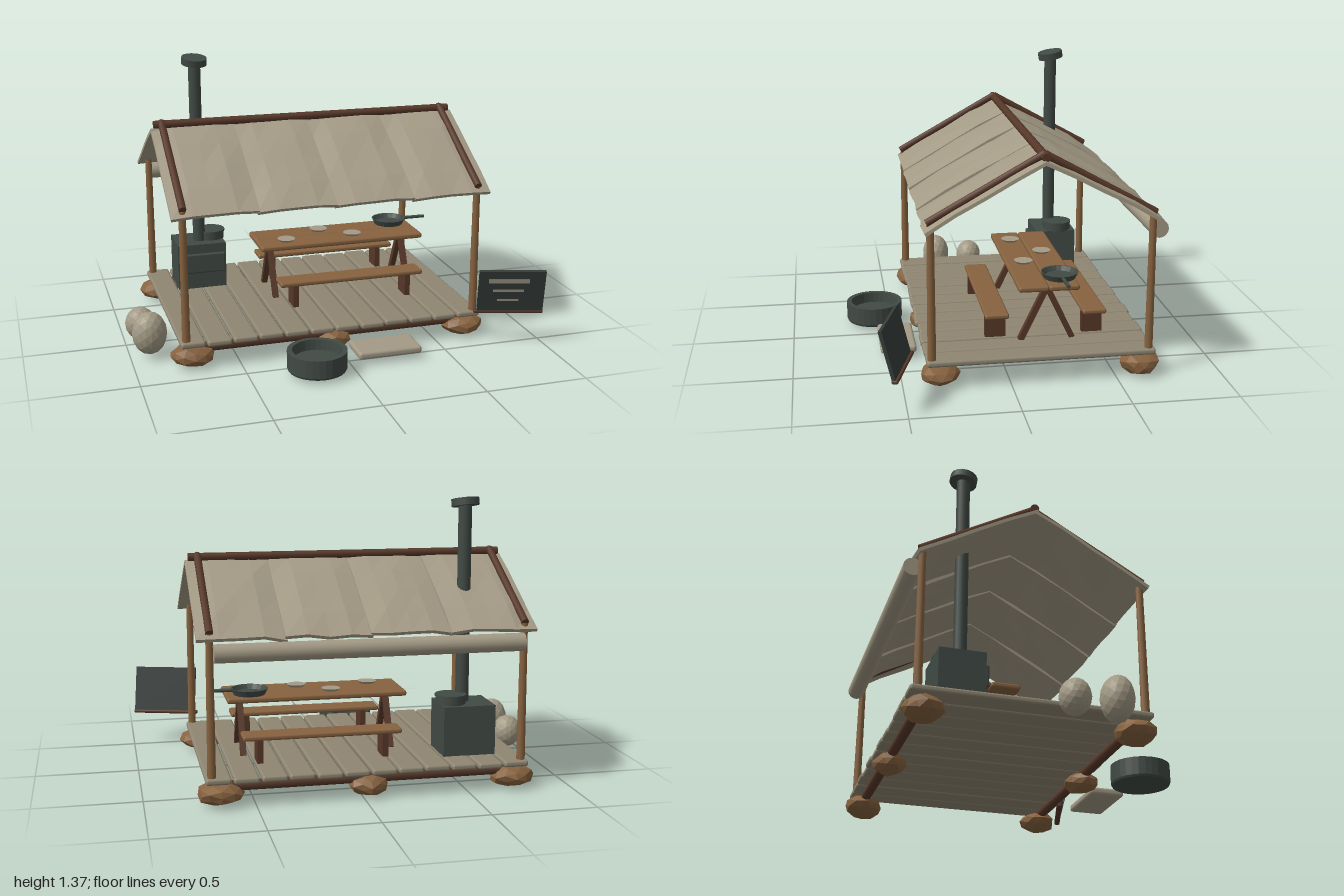
import * as THREE from 'three';
import { RoundedBoxGeometry } from 'three/addons/geometries/RoundedBoxGeometry.js';

const mat = (name, color) => {
  const m = new THREE.MeshStandardMaterial({ color });
  m.name = name;
  return m;
};

export function createModel() {
  const root = new THREE.Group();
  root.name = 'fieldKitchenShelter';
  const canvas = mat('canvas', 0xa39a85);
  const deckWood = mat('weathered wood', 0x8f8672);
  const wood = mat('light wood', 0x86623f);
  const darkWood = mat('dark wood', 0x573829);
  const iron = mat('iron', 0x414a45);
  const slate = mat('slate', 0x343c39);

  const add = (name, geo, material, x = 0, y = 0, z = 0, parent = root) => {
    const m = new THREE.Mesh(geo, material);
    m.name = name;
    m.position.set(x, y, z);
    parent.add(m);
    return m;
  };
  const box = (w, h, d) => new THREE.BoxGeometry(w, h, d);
  const plank = (w, h, d) => new RoundedBoxGeometry(w, h, d, 2, Math.min(w, h, d) * 0.4);
  const cyl = (rt, rb, h, n = 20) => new THREE.CylinderGeometry(rt, rb, h, n);
  const flat = (g) => {
    const f = g.index ? g.toNonIndexed() : g;
    f.computeVertexNormals();
    return f;
  };
  // repeatable pseudo random value in -1..1 for a position
  const noise = (x, y, z) => {
    const s = Math.sin(x * 127.1 + y * 311.7 + z * 74.7) * 43758.5453;
    return (s - Math.floor(s)) * 2 - 1;
  };
  // move every vertex by a rule
  const warp = (g, rule) => {
    const p = g.attributes.position, v = new THREE.Vector3();
    for (let i = 0; i < p.count; i++) {
      rule(v.fromBufferAttribute(p, i));
      p.setXYZ(i, v.x, v.y, v.z);
    }
    return flat(g);
  };
  // round pole between two points
  const pole = (name, a, b, r0, r1, material, n = 10) => {
    const A = new THREE.Vector3(...a), B = new THREE.Vector3(...b);
    const d = B.clone().sub(A), c = A.clone().add(B).multiplyScalar(0.5);
    const m = add(name, cyl(r1, r0, d.length(), n), material, c.x, c.y, c.z);
    m.quaternion.setFromUnitVectors(new THREE.Vector3(0, 1, 0), d.normalize());
    return m;
  };

  // deck planks
  for (let i = 0; i < 12; i++) {
    add('deckPlank', plank(0.118, 0.03, 1.08 + 0.012 * noise(i, 1, 2)), deckWood,
      -0.73 + i * 0.1273, 0.131 + 0.002 * noise(i, 5, 1), -0.145);
  }
  // floor beams on foundation rocks
  for (const z of [0.33, -0.62]) {
    pole('floorBeam', [-0.75, 0.094, z], [0.69, 0.094, z], 0.024, 0.024, darkWood);
    [-0.725, -0.03, 0.66].forEach((x, i) => {
      const s = i === 1 ? 0.85 : 1;
      const g = warp(new THREE.IcosahedronGeometry(1, 1), (v) => {
        const k = 1 + 0.1 * noise(Math.round(v.x * 50) + i * 7, Math.round(v.y * 50), Math.round(v.z * 50) + z * 10);
        v.set(v.x * 0.105 * s * k, v.y * 0.053 * k, v.z * 0.092 * s * k);
      });
      add('foundationRock', g, wood, x, 0.062, z);
    });
  }

  // corner posts, rafters and ridge pole
  for (const x of [-0.76, 0.7]) {
    pole('frontPost', [x, 0.14, 0.367], [x, 0.785, 0.367], 0.02, 0.017, wood);
    pole('backPost', [x, 0.14, -0.652], [x, 0.8, -0.652], 0.02, 0.017, wood);
    pole('frontRafter', [x, 0.795, 0.385], [x, 1.092, -0.145], 0.018, 0.018, darkWood);
    pole('backRafter', [x, 0.803, -0.665], [x, 1.092, -0.145], 0.018, 0.018, darkWood);
  }
  pole('ridgePole', [-0.8, 1.083, -0.145], [0.745, 1.083, -0.145], 0.02, 0.02, darkWood);

  // four billowing canvas panels on each slope
  const seams = [-0.81, -0.405, -0.03, 0.36, 0.755];
  for (const [zEdge, yEdge] of [[0.398, 0.77], [-0.688, 0.783]]) {
    const dz = zEdge + 0.145, dy = yEdge - 1.075, len = Math.hypot(dz, dy);
    for (let i = 0; i < 4; i++) {
      const w = seams[i + 1] - seams[i];
      const g = warp(new THREE.BoxGeometry(w + 0.01, 0.016, len, 4, 1, 4), (v) => {
        const u = Math.abs(v.x) / (w / 2), t = Math.abs(v.z) / (len / 2);
        const n = noise(Math.round(v.x * 90) + i * 13, Math.round(zEdge * 9), Math.round(v.z * 90));
        v.y += -0.006 + 0.016 * (1 - Math.pow(u, 4)) * (1 - Math.pow(t, 4)) + 0.004 * n;
        if (u * t > 0.9) v.y -= 0.008;
        if (t > 0.9) v.z += 0.006 * n;
      });
      const m = add('roofCanvas', g, canvas, (seams[i] + seams[i + 1]) / 2, (1.075 + yEdge) / 2 - 0.004, (zEdge - 0.145) / 2);
      m.rotation.x = Math.atan2(-dy, dz > 0 ? dz : -dz) * Math.sign(dz);
      m.rotation.z = 0.022;
    }
  }
  // rolled up canvas along the back eave
  pole('canvasRoll', [-0.745, 0.717, -0.689], [0.685, 0.717, -0.689], 0.043, 0.043, canvas, 16);

  // stove with door, pot and chimney
  add('stoveBody', box(0.255, 0.24, 0.215), iron, -0.542, 0.266, -0.438);
  add('stoveDoor', plank(0.23, 0.105, 0.022), iron, -0.536, 0.286, -0.322);
  add('stovePot', cyl(0.072, 0.072, 0.046), iron, -0.472, 0.407, -0.455);
  add('potLid', cyl(0.076, 0.076, 0.01), iron, -0.472, 0.427, -0.455);
  add('chimneyPipe', cyl(0.032, 0.032, 0.96, 16), iron, -0.54, 0.86, -0.42);
  const cap = add('chimneyCap', cyl(0.066, 0.066, 0.035, 16), iron, -0.54, 1.345, -0.42);
  cap.rotation.set(0.18, 0, -0.05);

  // table
  for (const z of [-0.127, -0.273]) add('tableTop', plank(0.875, 0.028, 0.145), wood, 0.152, 0.417, z);
  for (const x of [-0.21, 0.515]) {
    for (const z of [-0.075, -0.325]) {
      const leg = add('tableLeg', box(0.028, 0.29, 0.028), darkWood, x, 0.275, (z - 0.2) / 2);
      leg.rotation.x = -Math.atan2(z + 0.2, 0.26);
    }
  }
  // benches
  for (const z of [0.038, -0.433]) {
    add('benchSeat', plank(0.76, 0.025, 0.115), wood, 0.155, 0.269, z);
    for (const x of [-0.145, 0.455]) add('benchLeg', box(0.028, 0.115, 0.1), darkWood, x, 0.203, z);
  }
  // plates and pan on the table
  for (const [x, z] of [[-0.135, -0.135], [0.075, -0.26], [0.225, -0.14]]) {
    add('plate', cyl(0.047, 0.036, 0.012, 16), canvas, x, 0.437, z);
  }
  const panProfile = [[0, 0], [0.075, 0], [0.09, 0.03], [0.083, 0.03], [0.07, 0.009], [0, 0.009]];
  const lathe = (pts, n) => flat(new THREE.LatheGeometry(pts.map((p) => new THREE.Vector2(...p)), n));
  add('fryingPan', lathe(panProfile, 20), iron, 0.475, 0.433, -0.27);
  pole('panHandle', [0.555, 0.456, -0.27], [0.68, 0.456, -0.27], 0.009, 0.009, iron, 8);

  // wash tub
  const tubProfile = [[0, 0], [0.138, 0], [0.143, 0.01], [0.143, 0.097], [0.119, 0.097], [0.115, 0.045], [0, 0.045]];
  add('washTub', lathe(tubProfile, 28), iron, -0.18, 0.026, 0.58);
  // doorstep slab
  add('stepSlab', plank(0.32, 0.038, 0.175), canvas, 0.19, 0.055, 0.492);

  // stuffed sacks beside the deck
  for (const [x, y, z, rx, ry, rz] of [[-0.905, 0.132, 0.178, 0.085, 0.108, 0.075], [-0.923, 0.11, -0.018, 0.075, 0.083, 0.07]]) {
    const g = warp(new THREE.IcosahedronGeometry(1, 2), (v) => v.set(v.x * rx, v.y * ry, v.z * rz));
    add('sack', g, canvas, x, y, z);
  }

  // menu board leaning forward, with ledge and chalk strokes
  const sign = new THREE.Group();
  sign.name = 'menuBoard';
  sign.position.set(0.825, 0.295, 0.542);
  sign.rotation.set(0.25, -0.29, 0, 'YXZ');
  root.add(sign);
  add('boardPanel', box(0.325, 0.23, 0.016), slate, 0, 0, 0, sign);
  [[0.2, 0.02], [0.15, 0.015], [0.105, 0.012]].forEach(([w, h], i) =>
    add('chalkStroke', box(w, h, 0.004), canvas, -0.015, 0.06 - i * 0.055, 0.009, sign));
  const ledge = add('boardLedge', plank(0.345, 0.018, 0.03), darkWood, 0.828, 0.176, 0.508);
  ledge.rotation.y = -0.29;

  return root;
}
